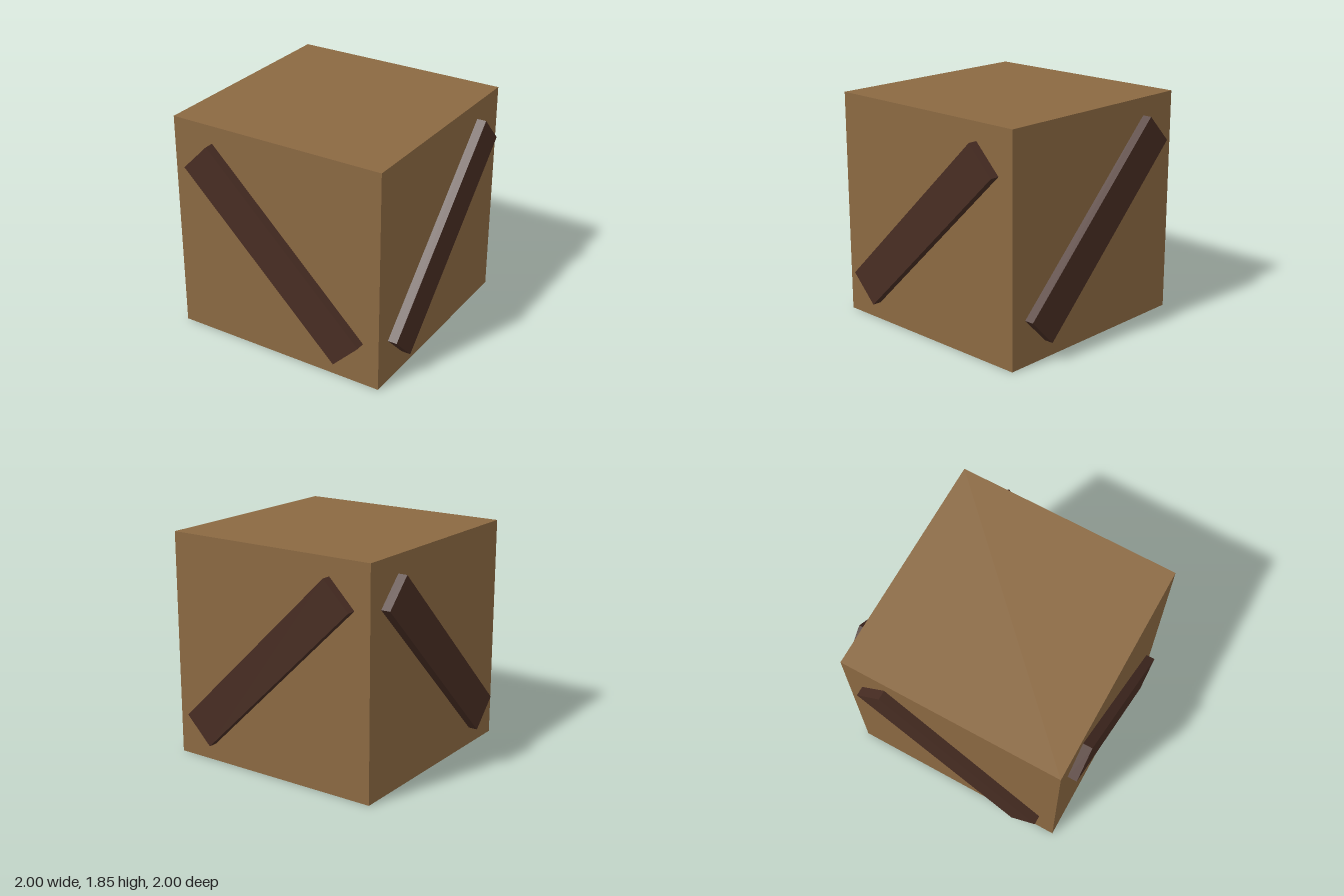
import * as THREE from 'three';

export function createModel() {
  const group = new THREE.Group();
  const wood = new THREE.MeshStandardMaterial({ color: 0x8b6942 });
  wood.name = 'light brown wood';
  const darkWood = new THREE.MeshStandardMaterial({ color: 0x482d23 });
  darkWood.name = 'dark brown wood';

  const size = 1.846;
  const mid = size / 2;
  const thickness = 1 - mid;
  const tilt = -0.778;

  // Crate body
  const body = new THREE.Mesh(new THREE.BoxGeometry(size, size, size), wood);
  body.name = 'crateBody';
  body.position.y = mid;
  group.add(body);

  // One diagonal brace on each side; opposite braces slope the same way
  const braceGeometry = new THREE.BoxGeometry(1.895, 0.315, thickness);
  const addBrace = (name, turn, side) => {
    const holder = new THREE.Group();
    holder.name = name;
    holder.rotation.y = turn;
    const brace = new THREE.Mesh(braceGeometry, darkWood);
    brace.name = name + 'Plank';
    brace.position.set(0, mid, side * (mid + thickness / 2));
    brace.rotation.z = tilt;
    holder.add(brace);
    group.add(holder);
  };
  addBrace('frontBrace', 0, 1);
  addBrace('backBrace', 0, -1);
  addBrace('leftBrace', -Math.PI / 2, -1);
  addBrace('rightBrace', -Math.PI / 2, 1);

  return group;
}
